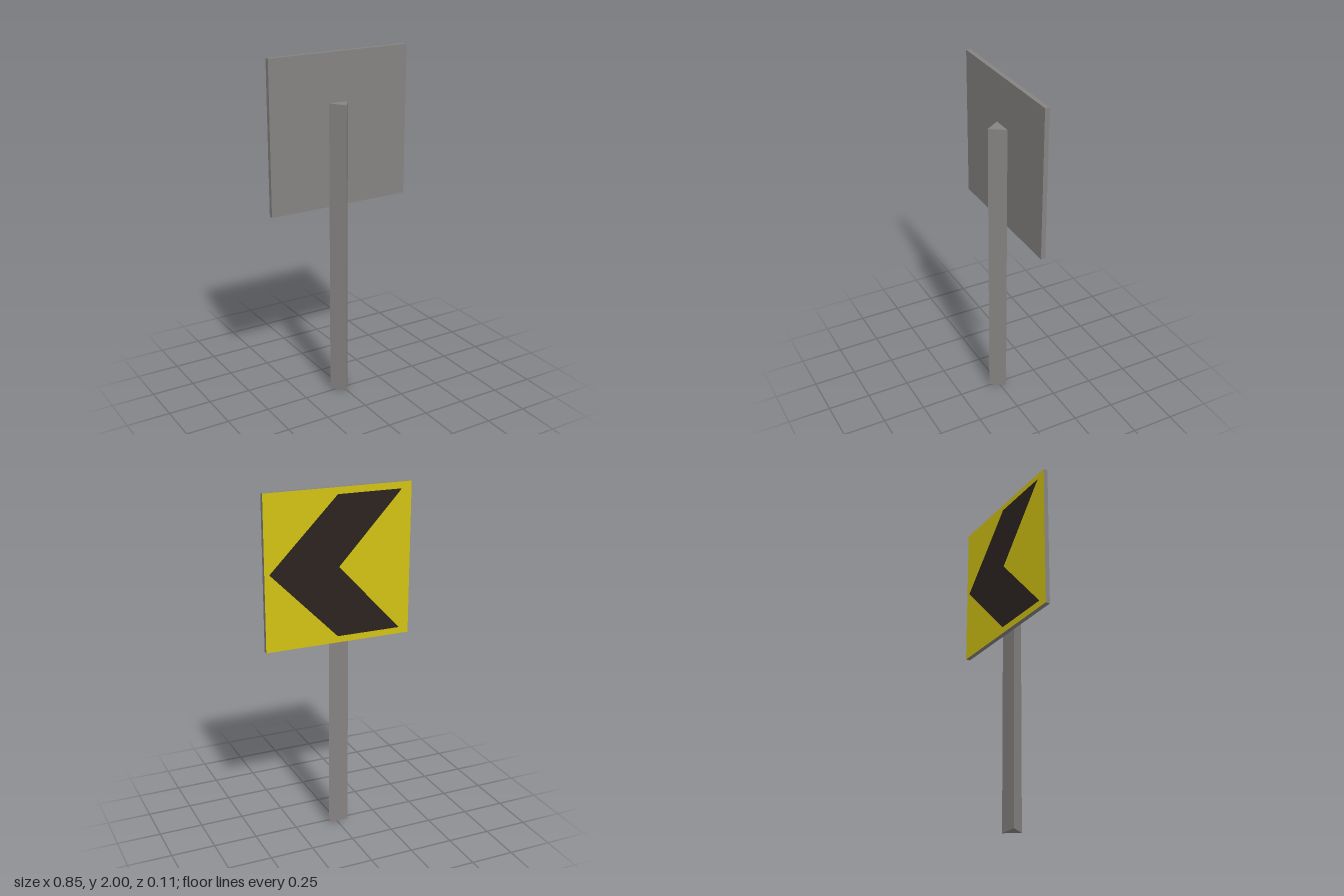
import * as THREE from 'three';

const metal = new THREE.MeshStandardMaterial({ name: 'grey metal', color: 0x868282 });
const yellow = new THREE.MeshStandardMaterial({ name: 'sign yellow', color: 0xd2c213 });
const black = new THREE.MeshStandardMaterial({ name: 'chevron black', color: 0x2c2320 });

const outline = (points) => new THREE.Shape(points.map(([x, y]) => new THREE.Vector2(x, y)));

function addMesh(group, name, geometry, material) {
  const mesh = new THREE.Mesh(geometry, material);
  mesh.name = name;
  group.add(mesh);
  return mesh;
}

export function createModel() {
  const group = new THREE.Group();
  group.name = 'chevronSign';

  // Triangular post: plan drawn as (x, -z), extruded upwards
  const plan = outline([[-0.068, 0.03], [-0.009, -0.055], [0.05, 0.03]]);
  const postGeometry = new THREE.ExtrudeGeometry(plan, { depth: 1.725, bevelEnabled: false });
  postGeometry.rotateX(-Math.PI / 2);
  addMesh(group, 'post', postGeometry, metal);

  // Square panel, yellow on its back face only
  const panel = addMesh(group, 'panel', new THREE.BoxGeometry(0.854, 0.86, 0.026),
    [metal, metal, metal, metal, metal, yellow]);
  panel.position.set(0, 1.57, -0.043);

  // Painted chevron on the yellow face, pointing to +x
  const arrow = outline([
    [-0.4, 0], [-0.008, -0.393], [0.368, -0.393],
    [0, 0], [0.368, 0.393], [-0.008, 0.393],
  ]);
  const chevron = addMesh(group, 'chevron', new THREE.ShapeGeometry(arrow), black);
  chevron.rotation.y = Math.PI;
  chevron.position.set(0, 1.57, -0.058);

  return group;
}
